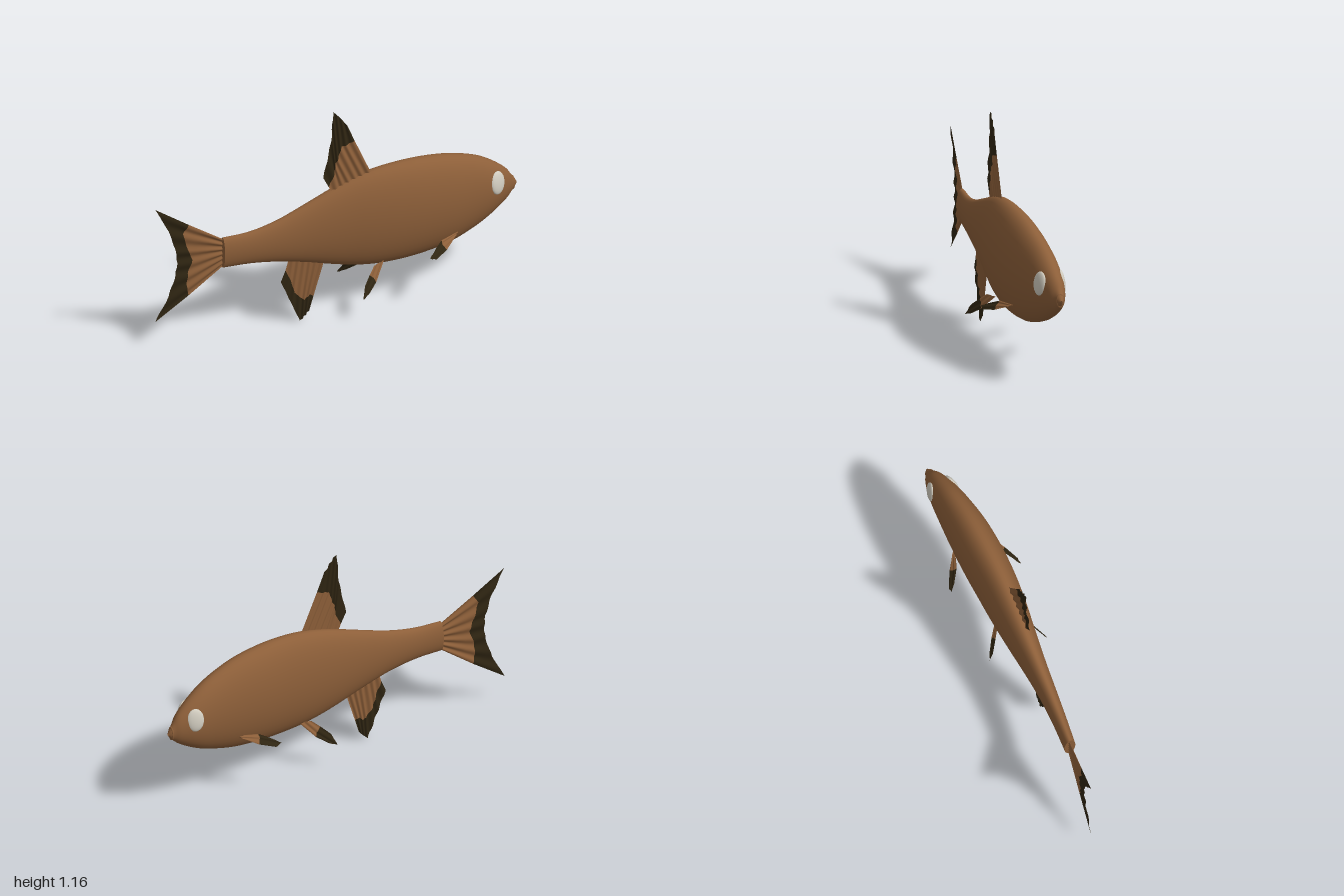
import * as THREE from 'three';

const skin = new THREE.MeshStandardMaterial({ color: 0x8d5f39, side: THREE.DoubleSide });
skin.name = 'brown skin';
const dark = new THREE.MeshStandardMaterial({ color: 0x2f2512, side: THREE.DoubleSide });
dark.name = 'dark fin edge';
const pale = new THREE.MeshStandardMaterial({ color: 0xd2cdc0 });
pale.name = 'pale eye';

function add(parent, name, geometry, material) {
  const mesh = new THREE.Mesh(geometry, material);
  mesh.name = name;
  parent.add(mesh);
  return mesh;
}

// Indexed surface from a rule point(row, col)
function grid(rows, cols, point, wrap = false) {
  const pos = [], index = [], n = wrap ? cols : cols + 1;
  for (let i = 0; i <= rows; i++)
    for (let j = 0; j < n; j++) pos.push(...point(i / rows, j / cols));
  for (let i = 0; i < rows; i++)
    for (let j = 0; j < cols; j++) {
      const k = (j + 1) % n;
      const a = i * n + j, b = i * n + k, c = a + n, d = b + n;
      index.push(a, b, c, b, d, c);
    }
  const g = new THREE.BufferGeometry();
  g.setAttribute('position', new THREE.Float32BufferAttribute(pos, 3));
  g.setIndex(index);
  g.computeVertexNormals();
  return g;
}

// Body stations: x, top, bottom, centre z, half width
const stations = [
  [-0.648, 0.565, 0.395, -0.015, 0.03],
  [-0.5, 0.57, 0.39, -0.005, 0.036],
  [-0.35, 0.602, 0.367, 0, 0.044],
  [-0.2, 0.655, 0.328, 0, 0.056],
  [0, 0.728, 0.268, 0, 0.078],
  [0.15, 0.766, 0.236, 0.001, 0.094],
  [0.3, 0.778, 0.225, 0, 0.104],
  [0.45, 0.772, 0.23, -0.006, 0.108],
  [0.6, 0.748, 0.25, -0.015, 0.102],
  [0.75, 0.698, 0.297, -0.03, 0.086],
  [0.85, 0.64, 0.345, -0.042, 0.07],
  [0.93, 0.575, 0.397, -0.051, 0.046],
  [0.965, 0.528, 0.428, -0.056, 0.026],
  [0.983, 0.503, 0.446, -0.057, 0.017],
  [0.997, 0.478, 0.467, -0.058, 0.005],
];

function buildBody() {
  const spline = (f) => new THREE.CatmullRomCurve3(
    stations.map((s) => new THREE.Vector3(...f(s))), false, 'catmullrom', 0.5);
  const centre = spline(([x, t, b, z]) => [x, (t + b) / 2, z]);
  const radius = spline(([x, t, b, , w]) => [x, (t - b) / 2, w]);
  return grid(70, 40, (u, v) => {
    const c = centre.getPoint(u), r = radius.getPoint(u), a = v * Math.PI * 2;
    return [c.x, c.y + r.y * Math.cos(a), c.z + r.z * Math.sin(a)];
  }, true);
}

// Point on a polyline, evenly spaced by corner
function along(points, t) {
  const f = t * (points.length - 1);
  const i = Math.min(Math.floor(f), points.length - 2);
  return [0, 1].map((k) => points[i][k] + (points[i + 1][k] - points[i][k]) * (f - i));
}

// Thin rippled fin: skin from base to mid, dark from mid to rim
function fin(parent, name, { base, mid, rim }, depth, ripples = 6, amp = 0.004) {
  const group = new THREE.Group();
  group.name = name;
  const web = (from, to) => grid(4, 48, (u, v) => {
    const p = along(from, v), q = along(to, v);
    const x = p[0] + (q[0] - p[0]) * u, y = p[1] + (q[1] - p[1]) * u;
    return [x, y, depth(x, y) + amp * Math.sin(v * ripples * Math.PI * 2)];
  });
  add(group, name + 'Web', web(base, mid), skin);
  add(group, name + 'Edge', web(mid, rim), dark);
  parent.add(group);
}

export function createModel() {
  const fish = new THREE.Group();
  fish.name = 'fish';

  add(fish, 'body', buildBody(), skin);

  // Flat end of the tail root
  const root = add(fish, 'tailRoot', new THREE.CircleGeometry(1, 40), skin);
  root.rotation.y = -Math.PI / 2;
  root.scale.set(0.03, 0.085, 1);
  root.position.set(-0.648, 0.48, -0.015);

  // Lips
  const lips = add(fish, 'lips', new THREE.TorusGeometry(0.032, 0.008, 10, 28), skin);
  lips.rotation.y = Math.PI / 2;
  lips.scale.x = 0.55;
  lips.position.set(0.974, 0.474, -0.057);

  // Eyes, flattened and set along the head
  for (const [name, side, yaw] of [['leftEye', 1, 0.36], ['rightEye', -1, -0.2]]) {
    const eye = add(fish, name, new THREE.SphereGeometry(1, 18, 12), pale);
    eye.scale.set(0.046, 0.062, 0.016);
    eye.rotation.set(-0.15 * side, yaw, 0);
    eye.position.set(0.86, 0.535, -0.042 + 0.058 * side);
  }

  // Fins on the midline
  fin(fish, 'dorsalFin', {
    base: [[0.165, 0.75], [-0.055, 0.69]],
    mid: [[0.07, 0.965], [0.03, 0.95], [-0.003, 0.945], [-0.02, 0.88], [-0.037, 0.85], [-0.04, 0.8], [-0.072, 0.73]],
    rim: [[0.03, 1.06], [-0.01, 1.115], [-0.048, 1.157], [-0.06, 0.985], [-0.103, 0.79]],
  }, () => 0.011);

  fin(fish, 'analFin', {
    base: [[-0.1, 0.31], [-0.295, 0.37]],
    mid: [[-0.157, 0.128], [-0.18, 0.14], [-0.205, 0.115], [-0.225, 0.13], [-0.262, 0.17], [-0.28, 0.235], [-0.312, 0.31]],
    rim: [[-0.18, 0.053], [-0.205, 0.025], [-0.232, 0], [-0.285, 0.125], [-0.338, 0.25]],
  }, () => 0.011);

  fin(fish, 'tailFin', {
    base: [[-0.64, 0.552], [-0.64, 0.405]],
    mid: [[-0.825, 0.67], [-0.855, 0.62], [-0.83, 0.53], [-0.805, 0.465], [-0.83, 0.39], [-0.835, 0.32], [-0.825, 0.265]],
    rim: [[-1, 0.787], [-0.93, 0.65], [-0.895, 0.54], [-0.885, 0.465], [-0.895, 0.39], [-0.93, 0.28], [-1, 0.144]],
  }, (x) => -0.018 + (x + 0.64) * 0.11);

  // Paired fins, spreading outward and back
  for (const [name, side] of [['left', 1], ['right', -1]]) {
    fin(fish, name + 'PectoralFin', {
      base: [[0.61, 0.35], [0.58, 0.333]],
      mid: [[0.5, 0.343], [0.5, 0.325], [0.515, 0.302]],
      rim: [[0.45, 0.32], [0.405, 0.295], [0.44, 0.283]],
    }, (x, y) => side * (0.085 + 0.28 * (0.6 - x) + 0.9 * (0.35 - y)), 2, 0.002);

    fin(fish, name + 'PelvicFin', {
      base: [[0.145, 0.265], [0.21, 0.268]],
      mid: [[0.107, 0.233], [0.13, 0.21], [0.14, 0.187]],
      rim: [[0.065, 0.192], [0.045, 0.137], [0.085, 0.15]],
    }, (x, y) => 0.013 + side * (0.062 + 0.36 * (0.18 - x) + 0.4 * (0.255 - y)), 2, 0.002);
  }

  return fish;
}
